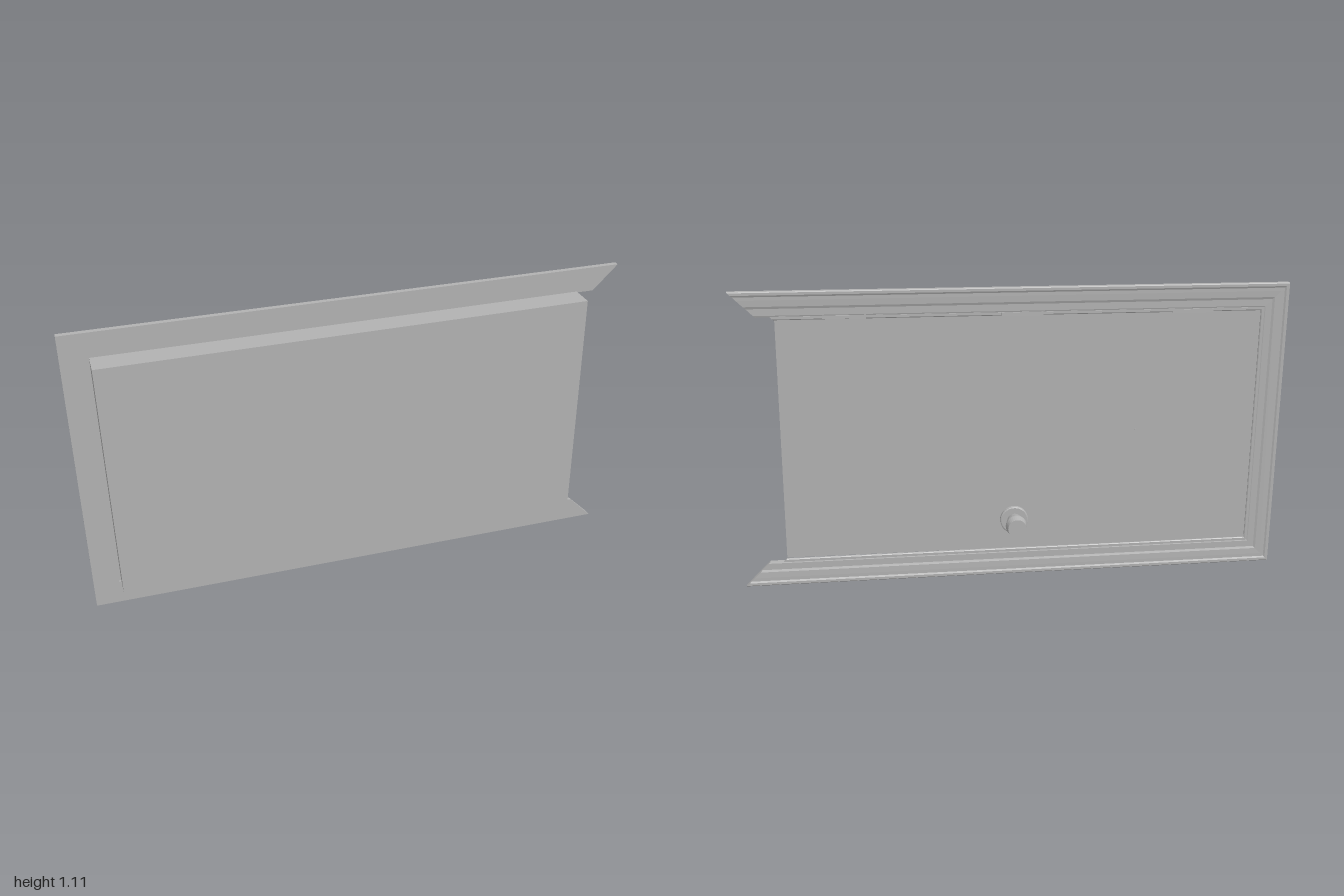
import * as THREE from 'three';

const paint = new THREE.MeshStandardMaterial({ color: 0xb2b2b2, side: THREE.DoubleSide });
paint.name = 'grey paint';

function add(parent, name, geometry, x = 0, y = 0, z = 0) {
  const mesh = new THREE.Mesh(geometry, paint);
  mesh.name = name;
  mesh.position.set(x, y, z);
  parent.add(mesh);
  return mesh;
}

// Sweeps a (inset, z) profile around the top, closed side and bottom, with mitred corners and ends.
function mitredTrim(profile, left, right, halfHeight) {
  const rings = [[right, 1], [left, 1], [left, -1], [right, -1]].map(([x, s]) =>
    profile.map(([t, z]) => [x - Math.sign(x) * t, s * (halfHeight - t), z]));
  const n = profile.length;
  const pos = [];
  for (let k = 0; k < 3; k++) {
    for (let i = 0; i < n; i++) {
      const j = (i + 1) % n;
      const a = rings[k], b = rings[k + 1];
      pos.push(...a[i], ...b[i], ...b[j], ...a[i], ...b[j], ...a[j]);
    }
  }
  // End cuts
  for (let i = 1; i < n - 1; i++) {
    pos.push(...rings[0][0], ...rings[0][i], ...rings[0][i + 1]);
    pos.push(...rings[3][0], ...rings[3][i + 1], ...rings[3][i]);
  }
  const g = new THREE.BufferGeometry();
  g.setAttribute('position', new THREE.Float32BufferAttribute(pos, 3));
  g.computeVertexNormals();
  return g;
}

export function createModel() {
  const model = new THREE.Group();
  model.name = 'door';

  // Three-sided casing, very slightly out of level
  const frame = new THREE.Group();
  frame.name = 'frame';
  frame.position.set(0, 0.554, 0);
  frame.rotation.z = 0.0085;
  model.add(frame);
  add(frame, 'casing', mitredTrim([
    [0, 0.011], [0.09, 0.011], [0.09, -0.002], [0.084, -0.004], [0.06, -0.004],
    [0.052, -0.007], [0.03, -0.008], [0.018, -0.008], [0.012, -0.011], [0.003, -0.011], [0, -0.008],
  ], -0.995, 0.99, 0.545));
  add(frame, 'stopBead', mitredTrim([
    [0.088, 0.004], [0.1, 0.004], [0.1, -0.003], [0.097, -0.005], [0.088, -0.005],
  ], -0.995, 0.94, 0.545));

  // Door leaf and its fittings
  const leaf = new THREE.Group();
  leaf.name = 'leaf';
  leaf.position.set(-0.03, 0.56, 0);
  leaf.rotation.z = 0.0115;
  model.add(leaf);
  add(leaf, 'slab', new THREE.BoxGeometry(1.735, 0.9, 0.099), 0, 0, 0.0495);
  for (const x of [-0.61, 0.01, 0.63]) {
    add(leaf, 'hinge', new THREE.BoxGeometry(0.15, 0.012, 0.012), x, 0.444, -0.001);
  }
  const peephole = add(leaf, 'peephole', new THREE.CylinderGeometry(0.007, 0.007, 0.004, 16), -0.42, 0, -0.001);
  peephole.rotation.x = Math.PI / 2;

  // Knob: rosette, flared grip and flat end, pointing to the back
  const rosette = [[0, -0.01], [0.052, -0.01], [0.052, 0.012], [0.048, 0.014], [0.026, 0.014]];
  const grip = [[0.026, 0.014], [0.039, 0.065], [0.039, 0.07], [0.034, 0.098], [0, 0.098]];
  for (const [name, points] of [['rosette', rosette], ['knob', grip]]) {
    const profile = points.map(([r, h]) => new THREE.Vector2(r, h));
    const g = new THREE.LatheGeometry(profile, 32).toNonIndexed();
    g.computeVertexNormals();
    add(model, name, g, 0.005, 0.226, 0).rotation.x = -Math.PI / 2;
  }
  return model;
}
